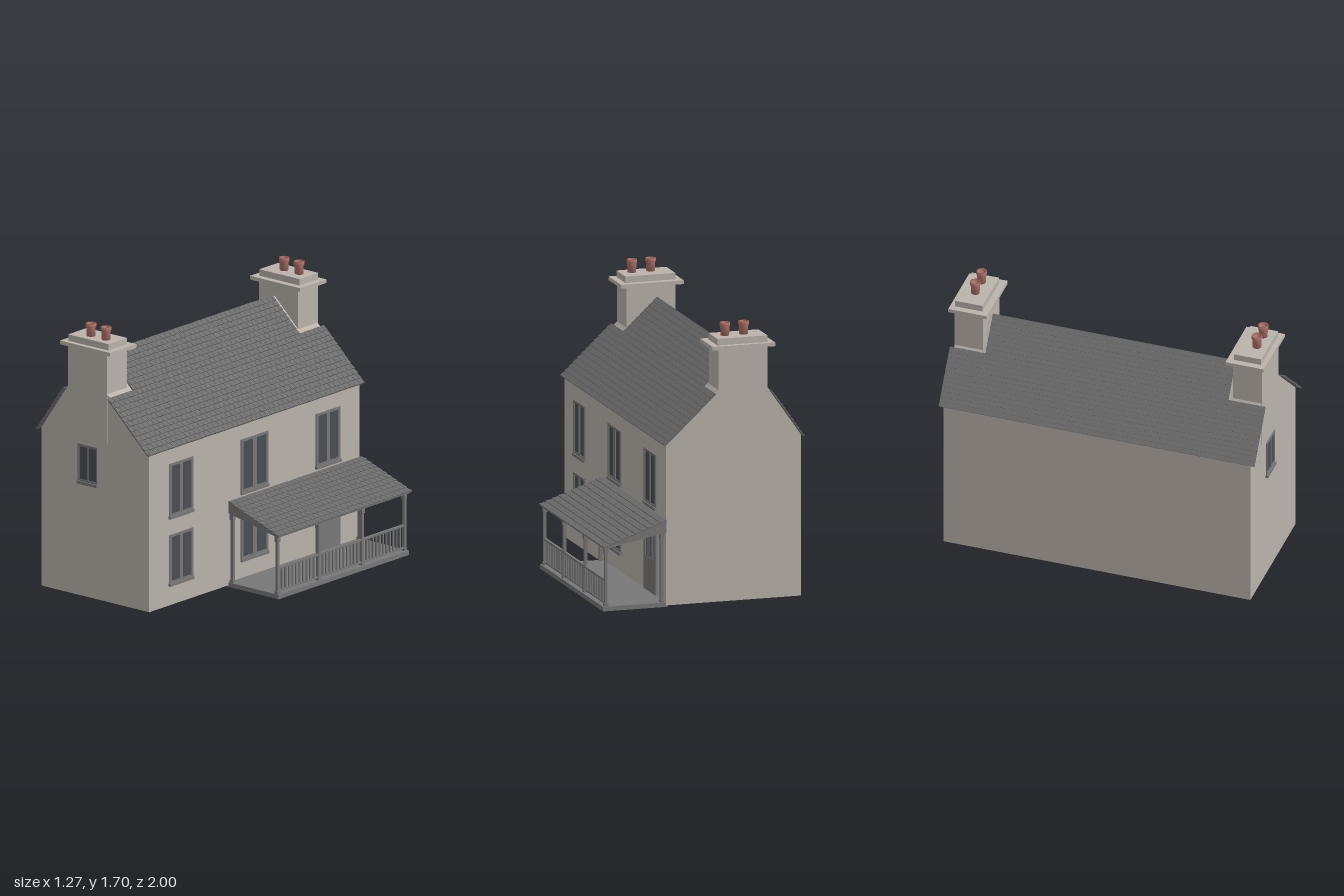
import * as THREE from 'three';
import { mergeGeometries } from 'three/addons/utils/BufferGeometryUtils.js';

const mat = (name, color, side = THREE.FrontSide) => {
  const m = new THREE.MeshStandardMaterial({ color, side });
  m.name = name;
  return m;
};

export function createModel() {
  const wall = mat('render', 0xbab3ac);
  const slate = mat('slate', 0x6c6c6c);
  const timber = mat('timber', 0x787878);
  const glass = mat('glass', 0x4a4f54);
  const clay = mat('clay', 0xb0736a, THREE.DoubleSide);

  const house = new THREE.Group();
  house.name = 'house';
  const add = (parent, name, geo, material) => {
    const m = new THREE.Mesh(geo, material);
    m.name = name;
    parent.add(m);
    return m;
  };
  // Box geometry from its two extreme corners
  const span = (x0, x1, y0, y1, z0, z1) =>
    new THREE.BoxGeometry(x1 - x0, y1 - y0, z1 - z0)
      .translate((x0 + x1) / 2, (y0 + y1) / 2, (z0 + z1) / 2);
  // Outline in x, y extruded from z0 to z1
  const prism = (pts, z0, z1) =>
    new THREE.ExtrudeGeometry(new THREE.Shape(pts.map(p => new THREE.Vector2(...p))),
      { depth: z1 - z0, bevelEnabled: false }).translate(0, 0, z0);

  // Walls with steep left and shallower right gable slopes
  add(house, 'walls', prism([[-0.62, 0.01], [0.23, 0.01], [0.23, 1], [-0.285, 1.483], [-0.62, 1]], -0.97, 0.97), wall);

  // Overlapping slates from eave to ridge; zRange gives the extent of each row
  function slates(name, [x0, y0], [x1, y1], rows, zRange) {
    const s = Math.sign(x1 - x0), slope = Math.atan((y1 - y0) / (x1 - x0));
    const step = Math.hypot(x1 - x0, y1 - y0) / rows, w = 0.043, gap = 0.003;
    const tiles = [];
    for (let r = 0; r < rows; r++) {
      const t = (r + 0.5) / rows, [za, zb] = zRange(r);
      const cx = x0 + (x1 - x0) * t, cy = y0 + (y1 - y0) * t;
      // thin bed beneath the row
      tiles.push(new THREE.BoxGeometry(step, 0.004, zb - za).rotateZ(slope).translate(cx, cy - 0.004, (za + zb) / 2));
      for (let z = za - (r % 2) * w / 2; z < zb - 0.004; z += w) {
        const a = Math.max(z, za), b = Math.min(z + w - gap, zb);
        if (b - a < 0.004) continue;
        tiles.push(new THREE.BoxGeometry(step * 1.08, 0.005, b - a)
          .rotateZ(slope - s * 0.16).translate(cx, cy, (a + b) / 2));
      }
    }
    add(house, name, mergeGeometries(tiles), slate);
  }
  // Upper rows stop short of the chimneys
  const mainRange = r => (r < 12 ? [-0.995, 1] : [-0.77, 0.765]);
  slates('roofLeftSlope', [-0.633, 0.997], [-0.285, 1.49], 20, mainRange);
  slates('roofRightSlope', [0.245, 0.997], [-0.285, 1.49], 20, mainRange);

  // Chimneys with capping slab and two clay pots
  const potProfile = [[0.0, 0], [0.026, 0], [0.028, 0.055], [0.032, 0.06], [0.032, 0.08], [0.024, 0.08], [0.022, 0.05], [0, 0.05]]
    .map(p => new THREE.Vector2(...p));
  for (const s of [1, -1]) {
    const chimney = new THREE.Group();
    chimney.name = s > 0 ? 'frontChimney' : 'backChimney';
    const zr = (a, b) => (s > 0 ? [a, b] : [-b, -a]);
    add(chimney, 'stack', span(-0.41, -0.1, 1, 1.56, ...zr(0.79, 0.972)), wall);
    add(chimney, 'slab', span(-0.45, -0.055, 1.56, 1.583, ...zr(0.755, 0.997)), wall);
    add(chimney, 'cap', span(-0.41, -0.095, 1.583, 1.623, ...zr(0.795, 0.967)), wall);
    for (const x of [-0.288, -0.17]) {
      add(chimney, 'pot', new THREE.LatheGeometry(potProfile, 16), clay).position.set(x, 1.622, s > 0 ? 0.9 : -0.88);
    }
    house.add(chimney);
  }

  // Framed opening facing +z: origin at bottom centre, panes as [x0, x1, y0, y1]
  function opening(name, w, h, panes, sill) {
    const g = new THREE.Group();
    g.name = name;
    const rect = (T, x0, x1, y0, y1) => new T([[x0, y0], [x1, y0], [x1, y1], [x0, y1]].map(p => new THREE.Vector2(...p)));
    const shape = rect(THREE.Shape, -w / 2, w / 2, 0, h);
    shape.holes = panes.map(p => rect(THREE.Path, ...p));
    add(g, 'frame', new THREE.ExtrudeGeometry(shape, { depth: 0.007, bevelEnabled: false }), timber);
    panes.forEach(([a, b, c, d]) => add(g, 'pane', span(a, b, c, d, 0, 0.002), glass));
    if (sill) add(g, 'sill', span(-w / 2 - 0.002, w / 2 + 0.002, 0, 0.018, 0, 0.014), timber);
    house.add(g);
    return g;
  }
  const sash = (name, w, h, edge, mullion) => opening(name, w, h,
    [[-w / 2 + edge, -mullion / 2, 0.03, h - 0.015], [mullion / 2, w / 2 - edge, 0.03, h - 0.015]], true);

  // Gable window
  sash('gableWindow', 0.155, 0.25, 0.01, 0.008).position.set(-0.252, 0.71, 0.97);
  // Windows along the right wall: centre z, base y, width, height
  for (const [z, y, w, h] of [
    [0.68, 0.55, 0.22, 0.345], [0.003, 0.55, 0.248, 0.345], [-0.675, 0.55, 0.225, 0.345],
    [0.68, 0.13, 0.22, 0.32], [0.003, 0.13, 0.248, 0.32]]) {
    const g = sash('wallWindow', w, h, 0.02, w > 0.24 ? 0.038 : 0.03);
    g.rotation.y = Math.PI / 2;
    g.position.set(0.23, y, z);
  }
  // Door with three narrow lights
  const door = opening('door', 0.225, 0.42, [-0.07, 0, 0.07].map(x => [x - 0.014, x + 0.014, 0.21, 0.385]), false);
  door.rotation.y = Math.PI / 2;
  door.position.set(0.23, 0.03, -0.675);

  // Porch
  const porch = new THREE.Group();
  porch.name = 'porch';
  house.add(porch);
  add(porch, 'floor', span(0.22, 0.625, 0, 0.028, -0.965, 0.24), timber);
  add(porch, 'roofFrame', prism([[0.23, 0.46], [0.62, 0.383], [0.62, 0.393], [0.23, 0.528]], -0.975, 0.238), timber);
  slates('porchRoof', [0.628, 0.396], [0.232, 0.536], 10, () => [-0.985, 0.245]);
  // Square posts with small capitals and bases
  const post = (x, z, top) => {
    const block = (r, y0, y1) => span(x - r, x + r, y0, y1, z - r, z + r);
    add(porch, 'post', mergeGeometries([block(0.009, 0.028, top), block(0.013, 0.028, 0.045), block(0.013, top - 0.04, top)]), timber);
  };
  const postZ = [0.224, -0.152, -0.555, -0.945];
  postZ.forEach(z => post(0.602, z, 0.392));
  [postZ[0], postZ[3]].forEach(z => post(0.25, z, 0.46));
  // Balustrade bays between the outer posts
  for (let i = 0; i < 3; i++) {
    const a = postZ[i + 1] + 0.009, b = postZ[i] - 0.009, n = Math.round((b - a) / 0.032);
    const bars = [span(0.594, 0.61, 0.18, 0.192, a, b), span(0.596, 0.608, 0.04, 0.05, a, b)];
    for (let k = 1; k < n; k++) {
      const z = a + ((b - a) * k) / n;
      bars.push(span(0.597, 0.607, 0.05, 0.18, z - 0.005, z + 0.005));
    }
    add(porch, 'balustrade', mergeGeometries(bars), timber);
  }
  return house;
}
